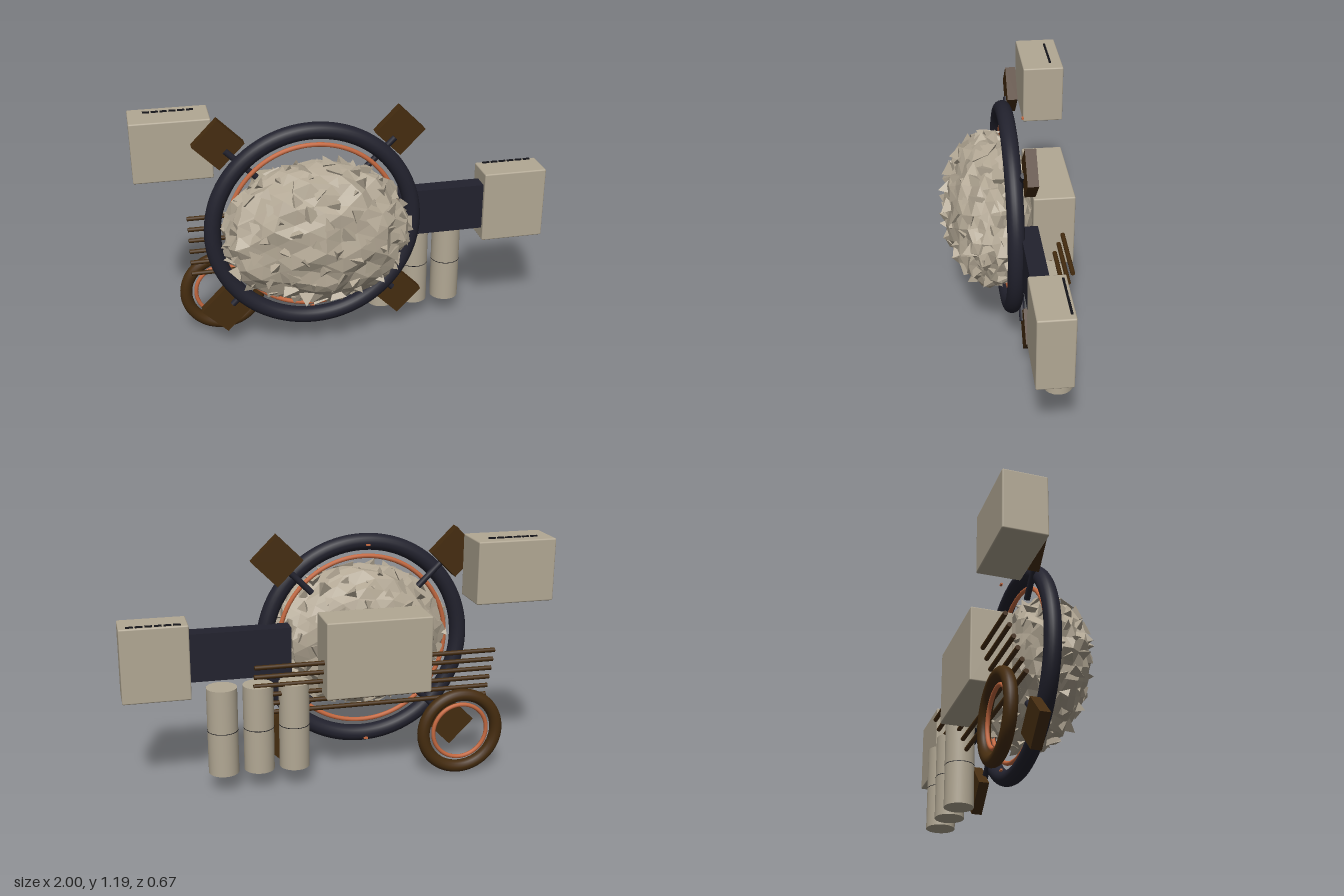
import * as THREE from 'three';
import { RoundedBoxGeometry } from 'three/addons/geometries/RoundedBoxGeometry.js';

const mat = (name, color, flatShading = false) => {
  const m = new THREE.MeshStandardMaterial({ color, flatShading });
  m.name = name;
  return m;
};

export function createModel() {
  const root = new THREE.Group();
  root.name = 'asteroidStation';
  const stone = mat('beige', 0xb2a894);
  const rockMat = mat('rock beige', 0xb2a794, true);
  const navy = mat('navy', 0x22222e);
  const brown = mat('brown', 0x452c0f);
  const copper = mat('copper', 0xc4683f);
  const black = mat('black', 0x15151a);

  const add = (name, geo, material, x, y, z, parent = root) => {
    const m = new THREE.Mesh(geo, material);
    m.name = name;
    m.position.set(x, y, z);
    parent.add(m);
    return m;
  };
  const CX = -0.175, CY = 0.645;

  // small seeded random generator
  let seed = 77;
  const rand = () => {
    seed = (seed * 1664525 + 1013904223) % 4294967296;
    return seed / 4294967296;
  };

  // faceted asteroid: coincident corners get the same random displacement
  const rock = new THREE.Group();
  rock.name = 'asteroid';
  rock.position.set(CX, 0.65, 0.09);
  root.add(rock);
  const R = new THREE.Vector3(0.455, 0.355, 0.222);
  const geo = new THREE.IcosahedronGeometry(1, 5);
  const pos = geo.attributes.position, v = new THREE.Vector3(), moved = new Map();
  for (let i = 0; i < pos.count; i++) {
    v.fromBufferAttribute(pos, i);
    const key = [v.x, v.y, v.z].map((c) => Math.round(c * 1000)).join();
    if (!moved.has(key)) {
      moved.set(key, v.clone().multiplyScalar(0.9 + 0.13 * rand()).multiply(R));
    }
    const p = moved.get(key);
    pos.setXYZ(i, p.x, p.y, p.z);
  }
  geo.computeVertexNormals();
  add('asteroidBody', geo, rockMat, 0, 0, 0, rock);

  // jagged shards spread over the asteroid
  const shardGeo = new THREE.TetrahedronGeometry(1);
  for (let i = 0; i < 170; i++) {
    const h = 1 - 2 * (i + 0.5) / 170, a = i * 2.39996, r = Math.sqrt(1 - h * h);
    v.set(r * Math.cos(a), h, r * Math.sin(a)).multiply(R).multiplyScalar(0.94 + rand() * 0.03);
    const shard = add('shard', shardGeo, rockMat, v.x, v.y, v.z, rock);
    shard.scale.setScalar(0.026 + rand() * 0.026);
    shard.rotation.set(rand() * 6, rand() * 6, rand() * 6);
  }

  // main ring with its copper inner ring
  add('mainRing', new THREE.TorusGeometry(0.485, 0.04, 20, 96), navy, CX, CY, 0.005);
  add('innerRing', new THREE.TorusGeometry(0.415, 0.011, 10, 96), copper, CX, CY, 0.005);

  // four diagonal panels on struts
  for (let i = 0; i < 4; i++) {
    const arm = new THREE.Group();
    arm.name = 'panelArm';
    arm.position.set(CX, CY, 0);
    arm.rotation.z = Math.PI / 4 + i * Math.PI / 2;
    root.add(arm);
    add('panel', new THREE.BoxGeometry(0.172, 0.172, 0.05), brown, 0.61, 0, -0.06, arm);
    const strut = add('strut', new THREE.CylinderGeometry(0.015, 0.015, 0.2, 12), navy, 0.47, 0, -0.035, arm);
    strut.rotation.z = Math.PI / 2;
  }

  // small bolts behind the ring
  for (const s of [-1, 1]) {
    add('ringBolt', new THREE.BoxGeometry(0.02, 0.008, 0.01), copper, CX, CY + s * 0.485, -0.075);
  }

  // habitat boxes: x, y, z of the centre, then width, height, depth
  const box = (name, x, y, z, w, h, d) =>
    add(name, new RoundedBoxGeometry(w, h, d, 2, 0.007), stone, x, y, z);
  box('rightModule', -0.812, 1.027, -0.232, 0.375, 0.295, 0.205);
  box('leftModule', 0.838, 0.647, -0.083, 0.315, 0.357, 0.165);
  box('rearModule', -0.178, 0.645, -0.2, 0.505, 0.37, 0.2);

  // dashed vents on the module roofs
  const vents = (x, y, z, span) => {
    for (let i = 0; i < 6; i++) {
      add('vent', new THREE.BoxGeometry(span / 7.5, 0.008, 0.01), black, x + (i - 2.5) * span / 6, y, z);
    }
  };
  vents(-0.81, 1.177, -0.273, 0.245);
  vents(0.838, 0.828, -0.147, 0.255);

  // beam joining the ring to the left module
  add('beam', new THREE.BoxGeometry(0.49, 0.232, 0.085), navy, 0.445, 0.648, -0.063);

  // three storage tanks, each with a seam
  for (let i = 0; i < 3; i++) {
    const x = 0.203 + i * 0.17;
    add('tank', new THREE.CylinderGeometry(0.072, 0.072, 0.422, 32), stone, x, 0.309, -0.165);
    add('tankSeam', new THREE.CylinderGeometry(0.0726, 0.0726, 0.003, 32), black, x, 0.31, -0.165);
  }

  // slanted rack of long rods
  for (let i = 0; i < 6; i++) {
    const rod = add('rod', new THREE.CylinderGeometry(0.011, 0.011, 1.16, 10), brown,
      -0.18, 0.626 - i * 0.051, -0.23 - 0.012 + i * 0.018);
    rod.rotation.z = Math.PI / 2;
  }

  // small docking ring
  add('dockRing', new THREE.TorusGeometry(0.185, 0.03, 16, 64), brown, -0.605, 0.22, -0.23);
  add('dockInnerRing', new THREE.TorusGeometry(0.135, 0.01, 10, 64), copper, -0.605, 0.22, -0.23);

  return root;
}
